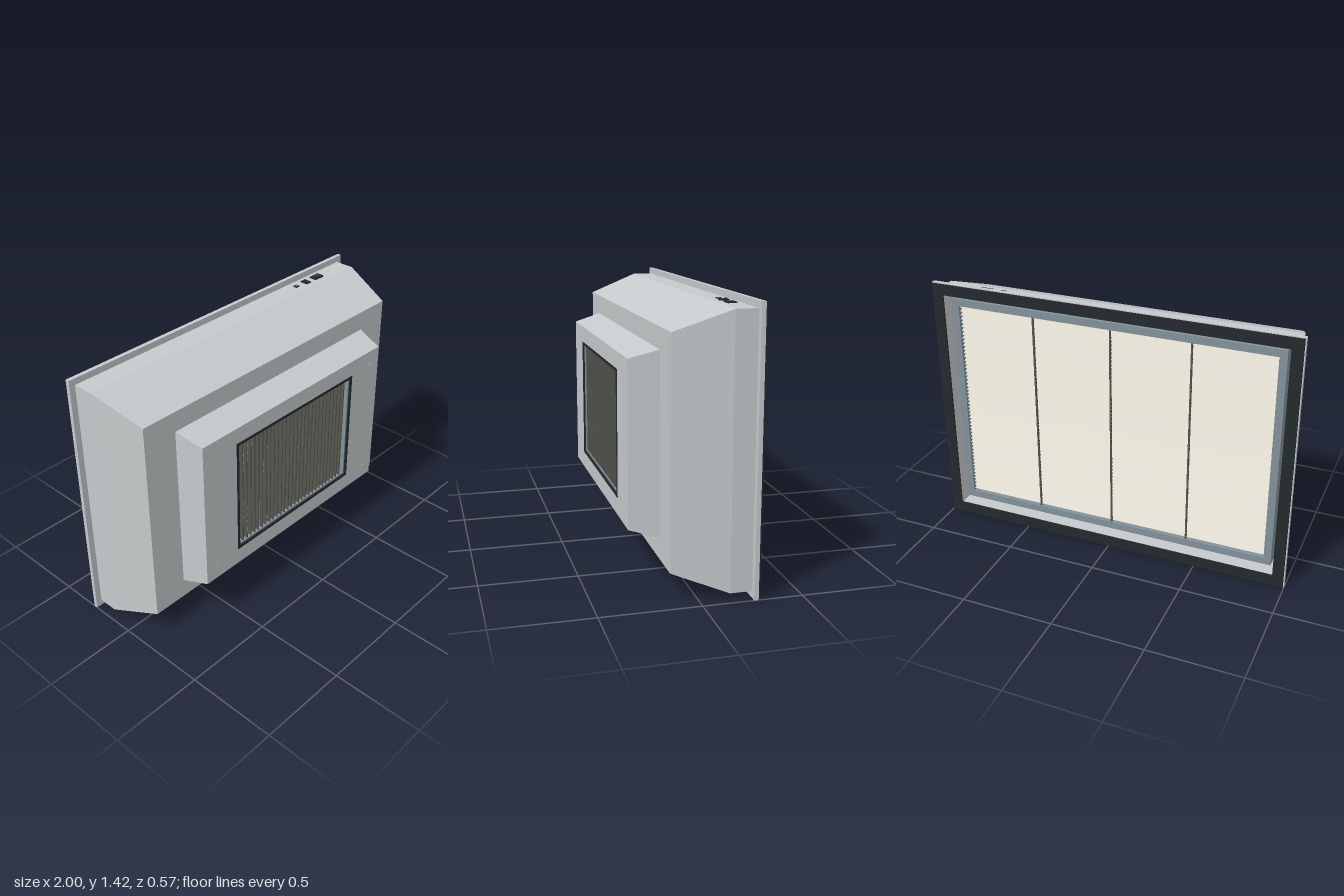
import * as THREE from 'three';

const CY = 0.708; // height of the centre line

const paint = (color) => new THREE.MeshStandardMaterial({ color, side: THREE.DoubleSide, flatShading: true });
const shellGrey = paint(0xc6cacc);
const dark = paint(0x23292d);
const slate = paint(0x83929a);
const cream = paint(0xd8d4c8);
const bladeGrey = paint(0x55564f);

function add(parent, name, geometry, material, x = 0, y = 0, z = 0) {
  const mesh = new THREE.Mesh(geometry, material);
  mesh.name = name;
  mesh.position.set(x, y, z);
  parent.add(mesh);
  return mesh;
}

const box = (parent, name, w, h, d, material, x, y, z) =>
  add(parent, name, new THREE.BoxGeometry(w, h, d), material, x, y, z);

// Skin through rectangular sections given as [half width, half height, z]
function rectangularLoft(sections) {
  const positions = [];
  const corner = ([hx, hy, z], i) => [
    i % 4 === 0 || i % 4 === 3 ? hx : -hx,
    i % 4 < 2 ? hy : -hy,
    z,
  ];
  for (let s = 0; s < sections.length - 1; s++) {
    for (let i = 0; i < 4; i++) {
      const a = corner(sections[s], i), b = corner(sections[s], i + 1);
      const c = corner(sections[s + 1], i + 1), d = corner(sections[s + 1], i);
      positions.push(...a, ...b, ...c, ...a, ...c, ...d);
    }
  }
  const g = new THREE.BufferGeometry();
  g.setAttribute('position', new THREE.Float32BufferAttribute(positions, 3));
  g.computeVertexNormals();
  return g;
}

// Rectangular picture-frame ring between z0 and z1
function ring(hx, hy, width, z0, z1) {
  const rect = (T, x, y) => new T([[-x, -y], [x, -y], [x, y], [-x, y]].map((p) => new THREE.Vector2(...p)));
  const shape = rect(THREE.Shape, hx, hy);
  shape.holes.push(rect(THREE.Path, hx - width, hy - width));
  return new THREE.ExtrudeGeometry(shape, { depth: z1 - z0, bevelEnabled: false }).translate(0, 0, z0);
}

// Horizontal pleats: a zigzag profile swept across the width
function pleatedPad(hx, hy, zBack, zFront, count) {
  const shape = new THREE.Shape();
  const depth = 0.025, pitch = (2 * hy) / count;
  shape.moveTo(zFront, -hy);
  shape.lineTo(zFront, hy);
  for (let i = count; i > 0; i--) {
    shape.lineTo(zBack + depth, -hy + i * pitch);
    shape.lineTo(zBack, -hy + (i - 0.5) * pitch);
  }
  shape.lineTo(zBack + depth, -hy);
  return new THREE.ExtrudeGeometry(shape, { depth: 2 * hx, bevelEnabled: false })
    .rotateY(-Math.PI / 2).translate(hx, 0, 0);
}

export function createModel() {
  const model = new THREE.Group();
  model.name = 'filterHousing';

  // Stepped sheet-metal housing, from the inner rear wall round to the front outlet
  add(model, 'housing', rectangularLoft([
    [0.935, 0.648, -0.12],
    [0.935, 0.648, -0.277],
    [1, CY, -0.277],
    [1, CY, -0.255],
    [0.967, 0.674, -0.255],
    [0.967, 0.674, -0.145],
    [0.903, 0.571, 0.133],
    [0.71, 0.463, 0.133],
    [0.68, 0.421, 0.282],
    [0.445, 0.322, 0.282],
    [0.445, 0.322, 0.2],
  ]), shellGrey, 0, CY);

  // Sealing gasket on the rear flange
  add(model, 'gasket', ring(0.995, 0.703, 0.06, -0.285, -0.277), dark, 0, CY);

  // Large rear filter
  const filter = new THREE.Group();
  filter.name = 'rearFilter';
  filter.position.y = CY;
  model.add(filter);
  add(filter, 'filterFrame', ring(0.912, 0.615, 0.04, -0.24, -0.12), slate);
  add(filter, 'filterPleats', pleatedPad(0.872, 0.575, -0.23, -0.15, 52), cream);
  for (const x of [-0.436, 0, 0.436]) {
    box(filter, 'filterDivider', 0.008, 1.15, 0.012, bladeGrey, x, 0, -0.229);
  }
  add(filter, 'filterSeat', ring(0.935, 0.648, 0.04, -0.13, -0.12), shellGrey);

  // Front outlet grille
  const grille = new THREE.Group();
  grille.name = 'frontGrille';
  grille.position.y = CY + 0.003;
  model.add(grille);
  add(grille, 'grilleFrame', ring(0.452, 0.33, 0.014, 0.25, 0.285), dark);
  add(grille, 'grilleInnerFrame', ring(0.438, 0.316, 0.008, 0.22, 0.276), slate);
  box(grille, 'outletPad', 0.88, 0.64, 0.01, cream, 0, 0, 0.205);
  const columns = 29, rows = 14;
  for (let i = 1; i < columns; i++) {
    box(grille, 'verticalVane', 0.005, 0.616, 0.022, bladeGrey, -0.43 + (0.86 * i) / columns, 0, 0.262);
  }
  for (let i = 1; i < rows; i++) {
    box(grille, 'horizontalVane', 0.86, 0.004, 0.022, bladeGrey, 0, -0.308 + (0.616 * i) / rows, 0.236);
  }

  // Screws at the corners of the front panel
  for (const x of [-0.61, 0.61]) {
    for (const y of [-0.342, 0.342]) {
      add(model, 'screw', new THREE.CylinderGeometry(0.005, 0.005, 0.003, 10).rotateX(Math.PI / 2),
        shellGrey, x, CY + y, 0.283);
    }
  }

  // Connectors on the top: small port, rocker switch, power inlet
  const top = CY + 0.674;
  box(model, 'smallPort', 0.024, 0.008, 0.024, dark, 0.545, top + 0.002, -0.205);
  box(model, 'smallPortCore', 0.012, 0.01, 0.012, slate, 0.545, top + 0.002, -0.205);
  box(model, 'powerSwitch', 0.036, 0.008, 0.046, dark, 0.625, top + 0.002, -0.205);
  const rocker = box(model, 'switchRocker', 0.022, 0.008, 0.032, dark, 0.625, top + 0.005, -0.205);
  rocker.rotation.x = 0.15;
  box(model, 'powerInlet', 0.07, 0.008, 0.046, dark, 0.72, top + 0.002, -0.205);
  box(model, 'inletSocket', 0.04, 0.012, 0.03, dark, 0.72, top + 0.002, -0.205);
  for (const [x, z] of [[-0.01, -0.21], [0.01, -0.21], [0, -0.2]]) {
    box(model, 'inletPin', 0.004, 0.004, 0.006, slate, 0.72 + x, top + 0.008, z);
  }

  // Control plate and small sensor stud underneath
  box(model, 'controlPlate', 0.2, 0.006, 0.036, dark, 0, CY - 0.675, -0.2);
  const stud = add(model, 'sensorStud', new THREE.CylinderGeometry(0.011, 0.011, 0.014, 16),
    dark, -0.625, 0.071, -0.046);
  stud.rotation.x = -0.35;

  return model;
}
